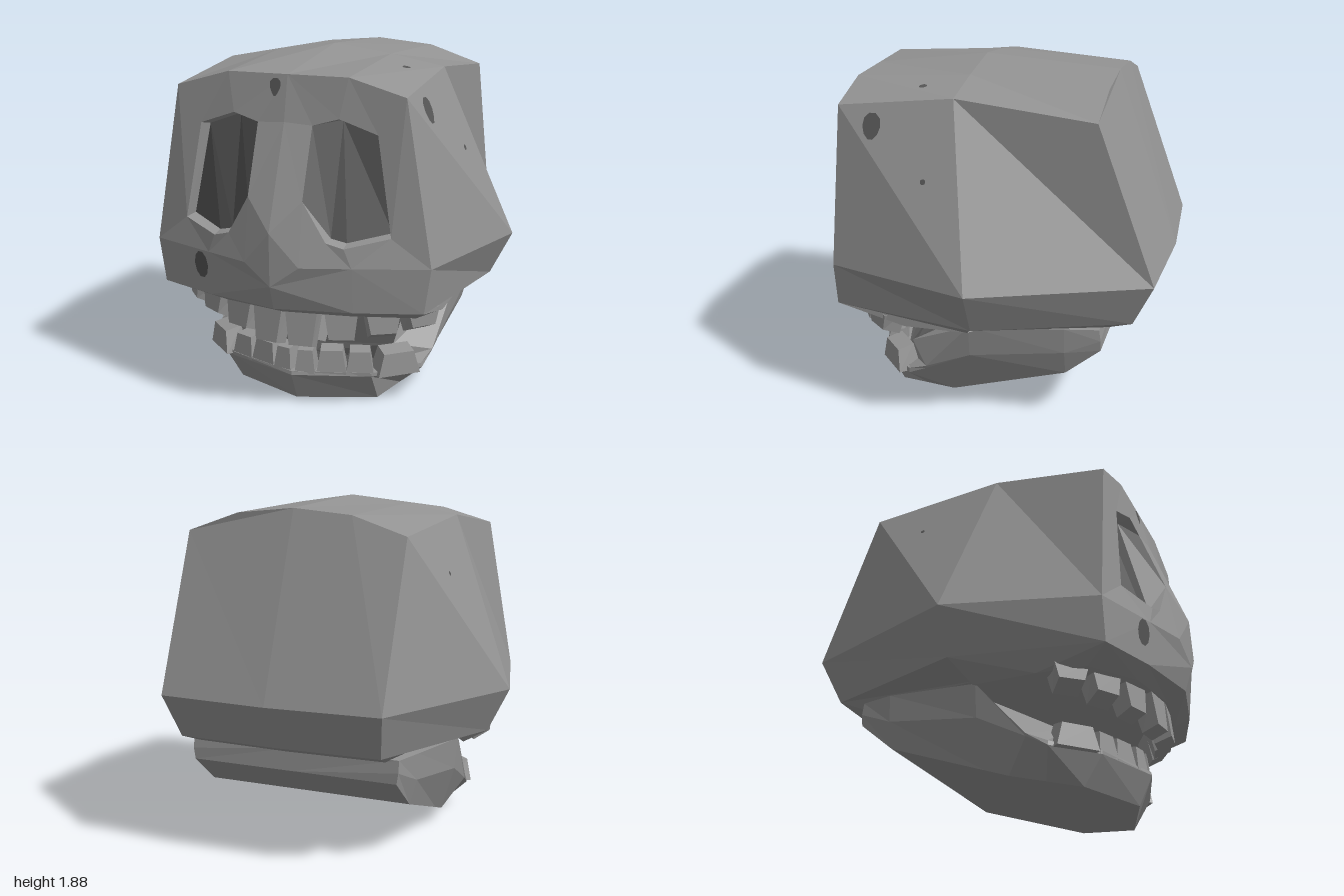
import * as THREE from 'three';

const bone = new THREE.MeshStandardMaterial({ color: 0x939393, flatShading: true, side: THREE.DoubleSide });
bone.name = 'bone grey';
const dark = new THREE.MeshStandardMaterial({ color: 0x565656, flatShading: true, side: THREE.DoubleSide });
dark.name = 'dark grey';

// Faceted mesh from polygons given for the +x half, mirrored to -x
function mirrored(name, polys, material) {
  const pos = [];
  const fan = (p) => {
    for (let i = 1; i < p.length - 1; i++) pos.push(...p[0], ...p[i], ...p[i + 1]);
  };
  for (const p of polys) {
    fan(p);
    fan(p.map(([x, y, z]) => [-x, y, z]).reverse());
  }
  const g = new THREE.BufferGeometry();
  g.setAttribute('position', new THREE.Float32BufferAttribute(pos, 3));
  g.computeVertexNormals();
  const m = new THREE.Mesh(g, material);
  m.name = name;
  return m;
}

function buildCranium(group) {
  // Brow, cheek and muzzle corners
  const T0 = [0, 1.785, 0.735], T1 = [0.33, 1.785, 0.735], T2 = [0.63, 1.7, 0.73];
  const M0 = [0, 1.55, 0.785], N0 = [0, 1.02, 0.99], N1 = [0, 0.74, 0.988], Q = [0.15, 0.85, 0.967];
  const K = [0.4, 0.85, 0.88], S = [0.775, 0.85, 0.745];
  const B0 = [0, 0.61, 0.945], KB = [0.4, 0.61, 0.86], B2 = [0.74, 0.61, 0.745];
  // Crown, temple and back corners
  const P0 = [0, 1.875, 0.1], P1 = [0.33, 1.83, 0.1], P = [0.63, 1.775, 0.1];
  const R0 = [0, 1.83, -0.645], R1 = [0.33, 1.8, -0.645], R = [0.63, 1.7, -0.645];
  const W = [1, 0.85, -0.05], WB = [0.88, 0.61, -0.05];
  const Y = [0.63, 0.85, -0.96], YB = [0.58, 0.61, -0.85], Z = [0, 0.85, -0.995], ZB = [0, 0.61, -0.87];
  // Eye socket rim
  const rim = [[0.15, 1.54, 0.775], [0.29, 1.58, 0.765], [0.49, 1.51, 0.75], [0.575, 1.0, 0.785],
    [0.36, 0.95, 0.885], [0.27, 0.975, 0.9], [0.15, 1.18, 0.91]];
  const [a, b, c, d, e, f, g] = rim;

  group.add(mirrored('face', [
    [T0, M0, a], [T0, a, b], [T0, b, T1], [T1, b, c], [T1, c, T2], [T2, c, d], [T2, d, S],
    [S, d, K], [K, d, e], [K, e, f], [K, f, Q], [Q, f, g], [Q, g, N0], [M0, N0, g], [M0, g, a],
    [N0, N1, Q], [N1, B0, KB], [N1, KB, K], [N1, K, Q], [K, KB, B2], [K, B2, S],
  ], bone));
  group.add(mirrored('cranium', [
    [T0, T1, P1, P0], [T1, T2, P, P1], [P0, P1, R1, R0], [P1, P, R, R1],
    [T2, S, W, P], [P, W, Y, R], [S, B2, WB, W], [W, WB, YB, Y],
    [R, Y, Z, R0, R1], [Y, YB, ZB, Z],
  ], bone));

  // Bevelled underside with a palate that steps up behind the jaw hinge
  const edge = [B0, KB, B2, B2, WB, WB, YB, ZB];
  const under = [[0, 0.56, 0.84], [0.35, 0.56, 0.78], [0.66, 0.535, 0.62], [0.73, 0.51, 0.37],
    [0.72, 0.51, 0.02], [0.66, 0.56, 0], [0.55, 0.56, -0.72], [0, 0.56, -0.74]];
  const base = [[...under].reverse()];
  for (let i = 0; i < under.length - 1; i++) base.push([edge[i], under[i], under[i + 1], edge[i + 1]]);
  group.add(mirrored('palate', base, bone));

  // Eye sockets: flush along the nose, sunk towards the temple
  const back = [a, [0.285, 1.565, 0.69], [0.475, 1.495, 0.675], [0.56, 1.01, 0.715],
    [0.355, 0.965, 0.825], [0.275, 0.985, 0.84], g];
  const walls = [];
  for (let i = 0; i < 6; i++) walls.push([rim[i], back[i], back[i + 1], rim[i + 1]]);
  group.add(mirrored('socketWalls', walls, bone));
  const [, b2, c2, d2, e2, f2] = back;
  group.add(mirrored('socketBacks', [[a, g, f2, b2], [b2, f2, e2, d2, c2]], dark));
}

function buildJaw(group) {
  // Sections from hinge to chin: keel, lower edge, side, rim, inner rim, mouth floor
  const sections = [
    [[0, 0.44, -0.69], [0.6, 0.44, -0.69], [0.61, 0.5, -0.69], [0.61, 0.565, -0.68], [0.4, 0.565, -0.68], [0, 0.565, -0.68]],
    [[0, 0.28, -0.5], [0.6, 0.28, -0.5], [0.64, 0.42, -0.5], [0.65, 0.565, -0.5], [0.45, 0.565, -0.5], [0, 0.565, -0.5]],
    [[0, 0.104, 0.02], [0.56, 0.104, 0.02], [0.67, 0.35, 0.02], [0.69, 0.53, 0.02], [0.45, 0.52, 0.02], [0, 0.52, -0.05]],
    [[0, 0.06, 0.15], [0.55, 0.06, 0.15], [0.645, 0.22, 0.28], [0.65, 0.235, 0.28], [0.47, 0.29, 0.42], [0, 0.17, 0.25]],
    [[0, 0.03, 0.325], [0.48, 0.03, 0.325], [0.625, 0.165, 0.39], [0.62, 0.19, 0.39], [0.45, 0.2, 0.44], [0, 0.17, 0.4]],
    [[0, 0, 0.5], [0.41, 0, 0.5], [0.41, 0.16, 0.6], [0.41, 0.18, 0.6], [0.34, 0.18, 0.49], [0, 0.17, 0.5]],
    [[0, 0, 0.66], [0, 0, 0.66], [0, 0.16, 0.735], [0, 0.18, 0.73], [0, 0.18, 0.58], [0, 0.17, 0.55]],
  ];
  const shell = [[...sections[0]].reverse()], mouth = [];
  for (let i = 0; i < sections.length - 1; i++) {
    for (let j = 0; j < 5; j++) {
      const s = sections[i], n = sections[i + 1];
      (j === 4 ? mouth : shell).push([s[j], s[j + 1], n[j + 1], n[j]]);
    }
  }
  group.add(mirrored('jaw', shell, bone), mirrored('mouthInterior', mouth, dark));
}

// Tapered block from root to tip, leaning along its facing direction, tip bevelled at the front
function tooth(name, x, z, root, tip, w, d, yaw, lean, bevel) {
  const g = new THREE.BoxGeometry(w, 1, d);
  const p = g.attributes.position;
  for (let i = 0; i < p.count; i++) {
    const atTip = p.getY(i) < 0 === tip < root;
    const k = atTip ? 0.72 : 1;
    const zz = p.getZ(i);
    const cut = atTip && zz > 0 ? Math.sign(root - tip) * bevel : 0;
    p.setXYZ(i, p.getX(i) * k, (atTip ? tip : root) + cut, zz * k + (atTip ? lean : 0));
  }
  g.computeVertexNormals();
  const m = new THREE.Mesh(g, bone);
  m.name = name;
  m.position.set(x, 0, z);
  m.rotation.y = yaw;
  return m;
}

export function createModel() {
  const model = new THREE.Group();
  model.name = 'skull';
  buildCranium(model);
  buildJaw(model);

  // Teeth rows: x, z, root y, tip y, width, depth, yaw, lean, bevel
  const upper = [
    [0.088, 0.75, 0.575, 0.345, 0.175, 0.13, 0.12, 0.04, 0.035],
    [0.275, 0.69, 0.575, 0.375, 0.18, 0.13, 0.32, 0.035, 0.04],
    [0.465, 0.61, 0.575, 0.395, 0.19, 0.13, 0.55, 0.03, 0.05],
    [0.63, 0.5, 0.565, 0.42, 0.19, 0.14, 0.85, 0.02, 0.05],
  ];
  const lower = [
    [0.055, 0.65, 0.165, 0.305, 0.112, 0.12, 0.2, 0, 0.01],
    [0.185, 0.608, 0.165, 0.305, 0.165, 0.12, 0.32, 0, 0.01],
    [0.33, 0.562, 0.165, 0.3, 0.15, 0.12, 0.35, 0, 0.01],
    [0.5, 0.475, 0.16, 0.305, 0.24, 0.13, 0.73, 0.01, 0.02],
  ];
  for (const s of [1, -1]) {
    for (const [name, row] of [['upperTooth', upper], ['lowerTooth', lower]]) {
      for (const [x, z, root, tip, w, d, yaw, lean, bevel] of row) {
        model.add(tooth(name, s * x, z, root, tip, w, d, s * yaw, lean, bevel));
      }
    }
  }

  // Dark pits laid flat on the surface found along a direction, narrowing downwards by taper
  model.updateMatrixWorld(true);
  const shell = [model.getObjectByName('face'), model.getObjectByName('cranium')];
  const pit = (from, dir, w, h, taper) => {
    const ray = new THREE.Raycaster(new THREE.Vector3(...from), new THREE.Vector3(...dir));
    const hit = ray.intersectObjects(shell)[0];
    const n = hit.face.normal.clone();
    const g = new THREE.CircleGeometry(0.5, 10);
    const p = g.attributes.position;
    for (let i = 0; i < p.count; i++) {
      p.setXY(i, p.getX(i) * w * (1 + taper * 2 * p.getY(i)), p.getY(i) * h);
    }
    const m = new THREE.Mesh(g, dark);
    m.name = 'pit';
    m.position.copy(hit.point).addScaledVector(n, 0.005);
    m.lookAt(m.position.clone().add(n));
    model.add(m);
  };
  pit([-0.063, 1.717, 3], [0, 0, -1], 0.058, 0.095, 0.5);
  pit([-0.455, 0.77, 3], [0, 0, -1], 0.1, 0.15, 0);
  pit([3, 1.61, 0.53], [-1, 0, 0], 0.1, 0.145, 0.15);
  pit([3, 1.37, 0.22], [-1, 0, 0], 0.03, 0.03, 0);
  pit([0.485, 3, 0.31], [0, -1, 0], 0.042, 0.045, 0);
  pit([-3, 1.49, -0.3], [1, 0, 0], 0.025, 0.025, 0);
  return model;
}
